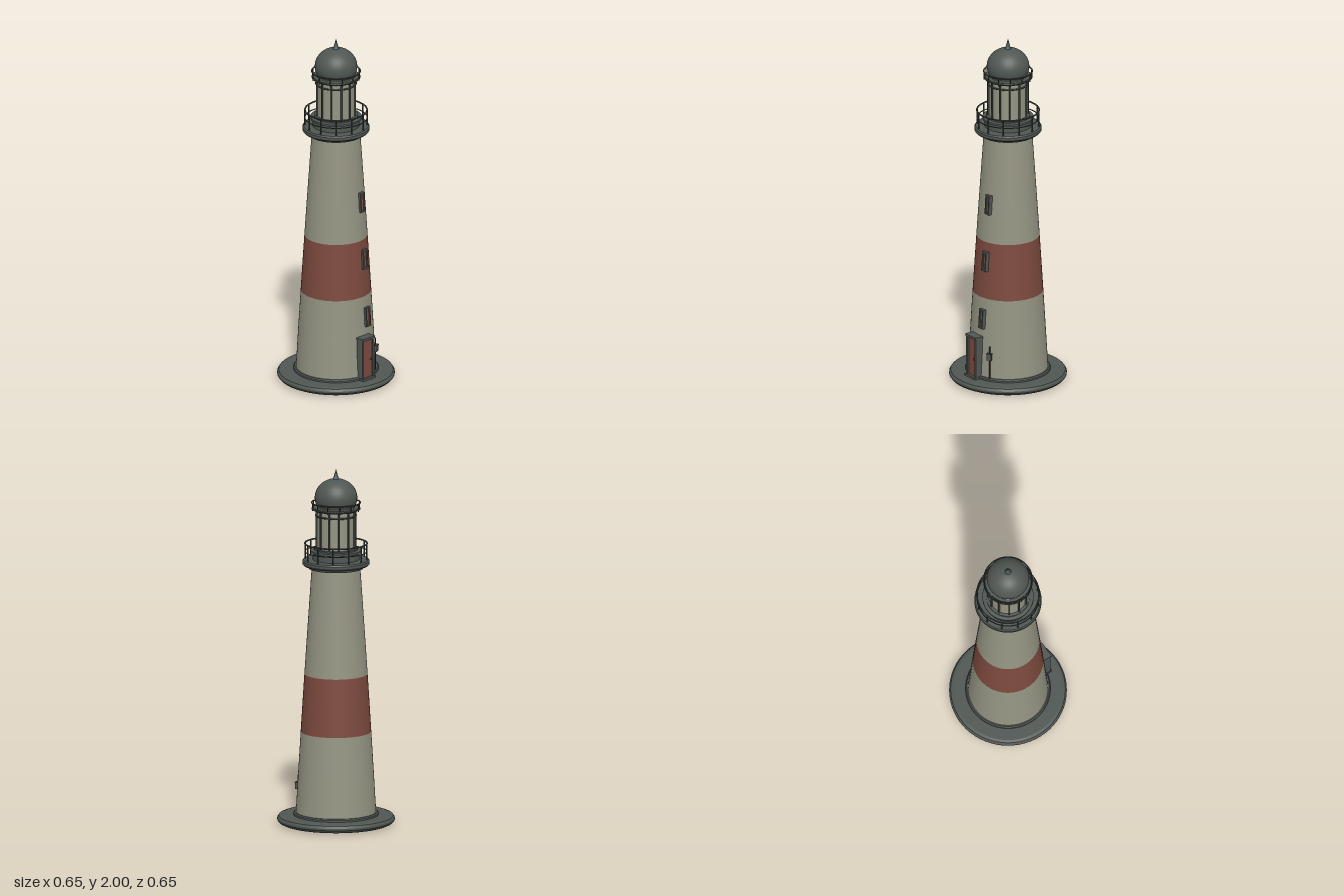
import * as THREE from 'three';

const mat = (name, color) => {
  const m = new THREE.MeshStandardMaterial({ color });
  m.name = name;
  return m;
};

export function createModel() {
  const cream = mat('cream plaster', 0x959584);
  const red = mat('brick red', 0x7d4a3e);
  const grey = mat('slate grey', 0x505753);
  const iron = mat('dark iron', 0x414744);
  const model = new THREE.Group();
  model.name = 'lighthouse';

  const add = (parent, name, geometry, material, x = 0, y = 0, z = 0) => {
    const m = new THREE.Mesh(geometry, material);
    m.name = name;
    m.position.set(x, y, z);
    parent.add(m);
    return m;
  };
  const group = (name, x = 0, y = 0, z = 0) => {
    const g = new THREE.Group();
    g.name = name;
    g.position.set(x, y, z);
    model.add(g);
    return g;
  };
  const box = (w, h, d) => new THREE.BoxGeometry(w, h, d);
  // Lathe with crisp corners: each profile edge is its own smooth band
  const lathe = (parent, name, pts, material) => {
    const g = group(name);
    parent.add(g);
    for (let i = 0; i + 1 < pts.length; i++) {
      const edge = [pts[i], pts[i + 1]].map(p => new THREE.Vector2(p[0], p[1]));
      add(g, name + 'Band', new THREE.LatheGeometry(edge, 64), material);
    }
    return g;
  };
  const ring = (parent, name, r, tube, y, material = iron) => {
    add(parent, name, new THREE.TorusGeometry(r, tube, 8, 64), material, 0, y, 0).rotation.x = Math.PI / 2;
  };
  const posts = (parent, name, n, r, y0, y1, thick, offset = 0) => {
    for (let i = 0; i < n; i++) {
      const a = offset + (i / n) * Math.PI * 2;
      add(parent, name, new THREE.CylinderGeometry(thick, thick, y1 - y0, 8), iron,
        Math.sin(a) * r, (y0 + y1) / 2, Math.cos(a) * r);
    }
  };

  // Round plinth
  lathe(model, 'plinth', [[0, 0.005], [0.302, 0.005], [0.317, 0.012], [0.325, 0.023], [0.325, 0.034],
    [0.317, 0.046], [0.302, 0.051], [0.2, 0.053]], grey);

  // Painted underside: pale disc with a red stripe
  const under = add(model, 'undersideDisc', new THREE.CircleGeometry(0.222, 64), cream, 0, 0.0025, 0);
  under.rotation.x = Math.PI / 2;
  const stripe = new THREE.Shape();
  const a0 = Math.asin(0.055 / 0.222);
  stripe.absarc(0, 0, 0.222, -a0, a0, false);
  stripe.absarc(0, 0, 0.222, Math.PI - a0, Math.PI + a0, false);
  add(model, 'undersideStripe', new THREE.ShapeGeometry(stripe, 16), red).rotation.x = Math.PI / 2;

  // Tapered tower with one red band
  const radiusAt = y => 0.223 - (y - 0.05) * 0.0635 + 0.008 * Math.sin(Math.PI * (y - 0.05) / 1.4) * 0.3;
  const tower = group('tower');
  const section = (name, y0, y1, material) => {
    const pts = [];
    for (let i = 0; i <= 8; i++) {
      const y = y0 + (y1 - y0) * i / 8;
      pts.push(new THREE.Vector2(radiusAt(y), y));
    }
    add(tower, name, new THREE.LatheGeometry(pts, 64), material);
  };
  section('lowerWall', 0.045, 0.52, cream);
  section('redBand', 0.52, 0.845, red);
  section('upperWall', 0.845, 1.46, cream);
  lathe(tower, 'footRing', [[0.235, 0.05], [0.235, 0.062], [0.229, 0.068], [0.215, 0.068]], grey);

  // Door with frame, leaf, panels and knob
  const door = group('door', 0, 0, 0.215);
  for (const s of [-1, 1]) {
    add(door, 'doorJamb', box(0.012, 0.235, 0.044), grey, s * 0.04, 0.17, 0.016);
  }
  add(door, 'doorLintel', box(0.096, 0.014, 0.05), grey, 0, 0.292, 0.017);
  add(door, 'doorStep', box(0.098, 0.012, 0.05), grey, 0, 0.058, 0.02);
  add(door, 'doorLeaf', box(0.07, 0.228, 0.036), red, 0, 0.172, 0.012);
  for (const s of [-1, 1]) {
    add(door, 'doorRib', box(0.003, 0.21, 0.004), iron, s * 0.031, 0.172, 0.031);
  }
  add(door, 'doorKnob', new THREE.SphereGeometry(0.006, 12, 8), iron, 0.022, 0.165, 0.034);

  // Slit windows up the front
  for (const y of [0.4, 0.735, 1.065]) {
    const z = Math.sqrt(radiusAt(y) ** 2 - 0.038 ** 2);
    const w = group('window', 0.038, y, z);
    w.rotation.x = -0.06;
    for (const s of [-1, 1]) {
      add(w, 'windowJamb', box(0.008, 0.11, 0.032), grey, s * 0.0145, 0, 0);
      add(w, 'windowSill', box(0.037, 0.009, 0.034), grey, 0, s * 0.0515, 0);
    }
    add(w, 'windowPane', box(0.022, 0.1, 0.018), red, 0, 0, 0);
  }

  // Wall lamp on a thin conduit beside the door
  const lamp = group('wallLamp', 0.105, 0, 0.199);
  lamp.rotation.y = 0.48;
  add(lamp, 'conduit', new THREE.CylinderGeometry(0.003, 0.003, 0.19, 8), iron, 0, 0.16, 0.004);
  add(lamp, 'lampBox', box(0.026, 0.034, 0.016), grey, 0, 0.194, 0.008);
  add(lamp, 'lampCap', box(0.03, 0.005, 0.02), iron, 0, 0.213, 0.008);

  // Gallery deck with railing
  const gallery = group('gallery');
  lathe(gallery, 'galleryDeck', [[0.12, 1.442], [0.153, 1.442], [0.16, 1.456], [0.18, 1.458], [0.186, 1.466],
    [0.186, 1.482], [0.18, 1.49], [0.1, 1.492]], grey);
  posts(gallery, 'railPost', 12, 0.172, 1.485, 1.58, 0.004, Math.PI / 12);
  ring(gallery, 'topRail', 0.172, 0.0045, 1.58);
  ring(gallery, 'midRail', 0.172, 0.003, 1.535);

  // Lantern room: drum, glazing, bars and eave
  const lantern = group('lantern');
  lathe(lantern, 'lanternDrum', [[0.13, 1.49], [0.13, 1.528], [0.142, 1.532], [0.142, 1.543],
    [0.122, 1.546], [0.122, 1.553], [0.1, 1.555]], grey);
  add(lantern, 'glazing', new THREE.CylinderGeometry(0.106, 0.106, 0.24, 48), cream, 0, 1.665, 0);
  posts(lantern, 'glazingBar', 12, 0.11, 1.55, 1.78, 0.0055);
  ring(lantern, 'glazingHoop', 0.111, 0.005, 1.738);
  lathe(lantern, 'eave', [[0.1, 1.768], [0.126, 1.768], [0.13, 1.774], [0.126, 1.782], [0.09, 1.784]], grey);
  posts(lantern, 'eavePost', 12, 0.132, 1.765, 1.81, 0.003);
  ring(lantern, 'eaveRail', 0.134, 0.004, 1.81);
  ring(lantern, 'eaveLowerRail', 0.132, 0.004, 1.776);

  // Dome and spire
  const dome = add(model, 'dome', new THREE.SphereGeometry(0.118, 48, 32), grey, 0, 1.838, 0);
  dome.scale.y = 0.9;
  add(model, 'spireCollar', new THREE.CylinderGeometry(0.014, 0.02, 0.012, 8), grey, 0, 1.946, 0);
  add(model, 'spire', new THREE.ConeGeometry(0.016, 0.056, 8), grey, 0, 1.972, 0);

  return model;
}
